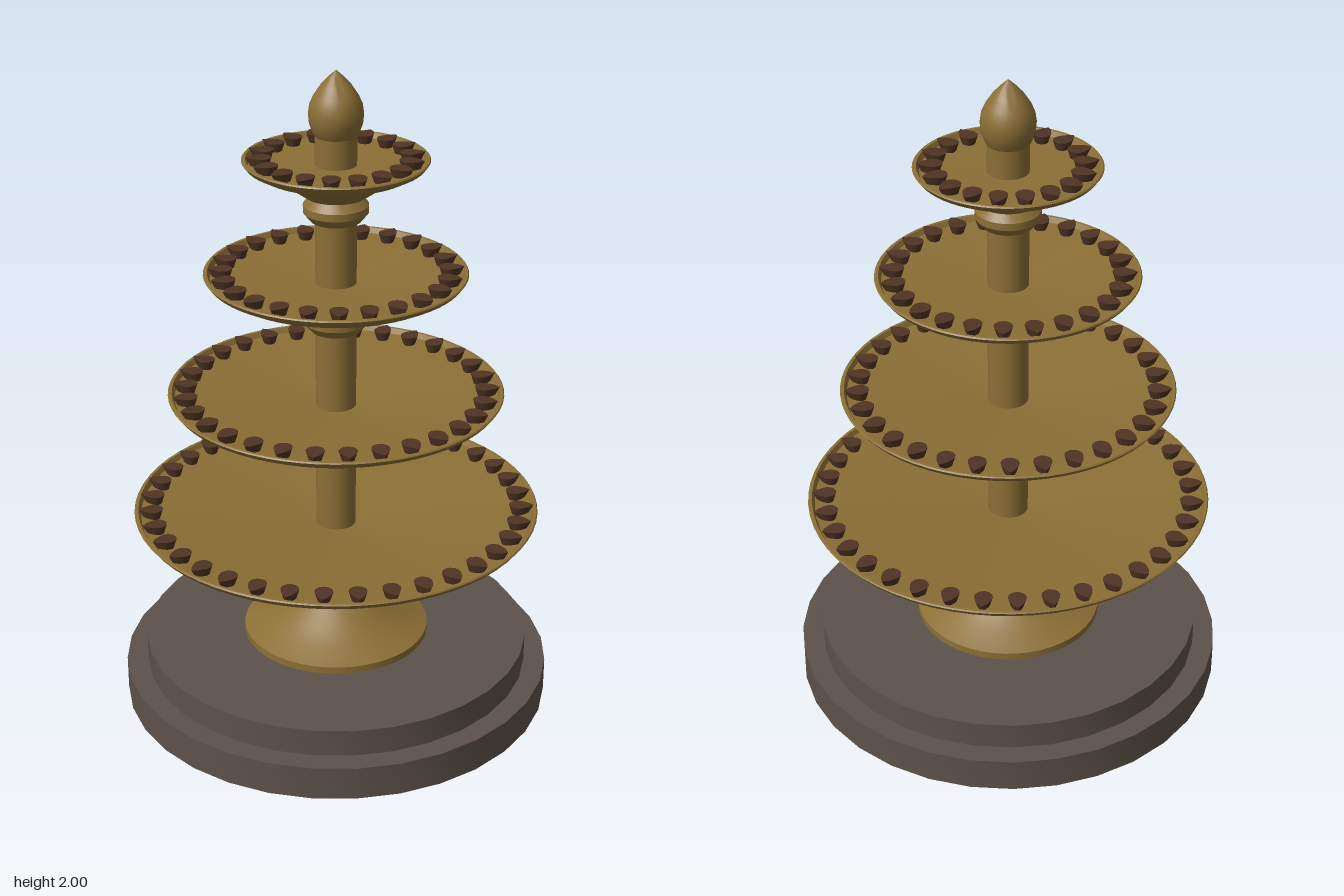
import * as THREE from 'three';
import { toCreasedNormals } from 'three/addons/utils/BufferGeometryUtils.js';

const brass = new THREE.MeshStandardMaterial({ color: 0x8b6f35 });
brass.name = 'brass';
const stone = new THREE.MeshStandardMaterial({ color: 0x5c524a, side: THREE.DoubleSide });
stone.name = 'stone';
const clay = new THREE.MeshStandardMaterial({ color: 0x4f3424 });
clay.name = 'clay';

// Turned part from [radius, height] pairs, listed from the bottom up the outside
function turned(name, profile, material, segments = 48, crease = 0.45) {
  const points = profile.map(([r, y]) => new THREE.Vector2(r, y));
  const geometry = toCreasedNormals(new THREE.LatheGeometry(points, segments), crease);
  const mesh = new THREE.Mesh(geometry, material);
  mesh.name = name;
  return mesh;
}

// Small tapered cup whose rim is drawn out to a spout along +z
function lampGeometry() {
  const geometry = new THREE.CylinderGeometry(0.0275, 0.017, 0.034, 12);
  const p = geometry.attributes.position;
  for (let i = 0; i < p.count; i++) {
    const z = p.getZ(i);
    const r = Math.hypot(p.getX(i), z);
    if (r < 0.001 || z <= 0) continue;
    const pull = Math.pow(z / r, 4);
    p.setZ(i, z * (1 + 0.7 * pull));
  }
  return toCreasedNormals(geometry, 0.7);
}

export function createModel() {
  const model = new THREE.Group();
  model.name = 'tieredLampStand';

  // Hollow two-step plinth, open underneath
  model.add(turned('plinth', [[0.663, 0], [0.663, 0.105], [0.597, 0.105], [0.597, 0.19], [0, 0.19]], stone, 32));

  // Flared foot with a collar
  model.add(turned('foot', [
    [0.288, 0.19], [0.288, 0.212], [0.225, 0.237], [0.165, 0.272], [0.115, 0.31], [0.08, 0.332],
    [0.098, 0.34], [0.103, 0.35], [0.098, 0.36], [0.06, 0.365],
  ], brass));

  // Central column
  model.add(turned('column', [[0.061, 0.34], [0.061, 1.81]], brass, 32));

  // Beads under each dish
  for (const y of [0.48, 0.863, 1.247, 1.59]) {
    model.add(turned('bead', [
      [0.06, y - 0.042], [0.075, y - 0.036], [0.096, y - 0.01], [0.096, y + 0.012], [0.075, y + 0.036], [0.06, y + 0.042],
    ], brass));
  }

  // Dishes: rim radius, rim height, underside height, floor height, lamp count
  const tiers = [
    [0.62, 0.63, 0.515, 0.565, 36],
    [0.505, 1.018, 0.9, 0.965, 30],
    [0.39, 1.397, 1.285, 1.36, 24],
    [0.272, 1.742, 1.625, 1.722, 18],
  ];
  const lamp = lampGeometry();
  for (const [R, top, low, floor, count] of tiers) {
    const tier = new THREE.Group();
    tier.name = 'tier';
    const shoulder = top - 0.038;
    const at = (t) => low + (shoulder - low) * t;
    tier.add(turned('dish', [
      [0.05, low], [0.09, at(0.06)], [0.09 + (R - 0.14) * 0.33, at(0.45)], [0.09 + (R - 0.14) * 0.66, at(0.76)],
      [R - 0.045, shoulder], [R - 0.012, top - 0.02], [R, top - 0.004], [R - 0.003, top],
      [R - 0.012, top], [R - 0.02, top - 0.016], [0.05, floor],
    ], brass, 64));

    // Ring of lamps with spouts facing outward
    for (let i = 0; i < count; i++) {
      const a = (i / count) * Math.PI * 2;
      const r = R - 0.06;
      const mesh = new THREE.Mesh(lamp, clay);
      mesh.name = 'lamp';
      mesh.position.set(Math.sin(a) * r, top - 0.008, Math.cos(a) * r);
      mesh.rotation.y = a;
      tier.add(mesh);
    }
    model.add(tier);
  }

  // Pointed bud on top
  model.add(turned('finial', [
    [0, 1.795], [0.052, 1.795], [0.066, 1.815], [0.077, 1.845], [0.08, 1.873], [0.076, 1.9],
    [0.065, 1.925], [0.045, 1.955], [0.022, 1.98], [0, 2],
  ], brass, 32));

  return model;
}
